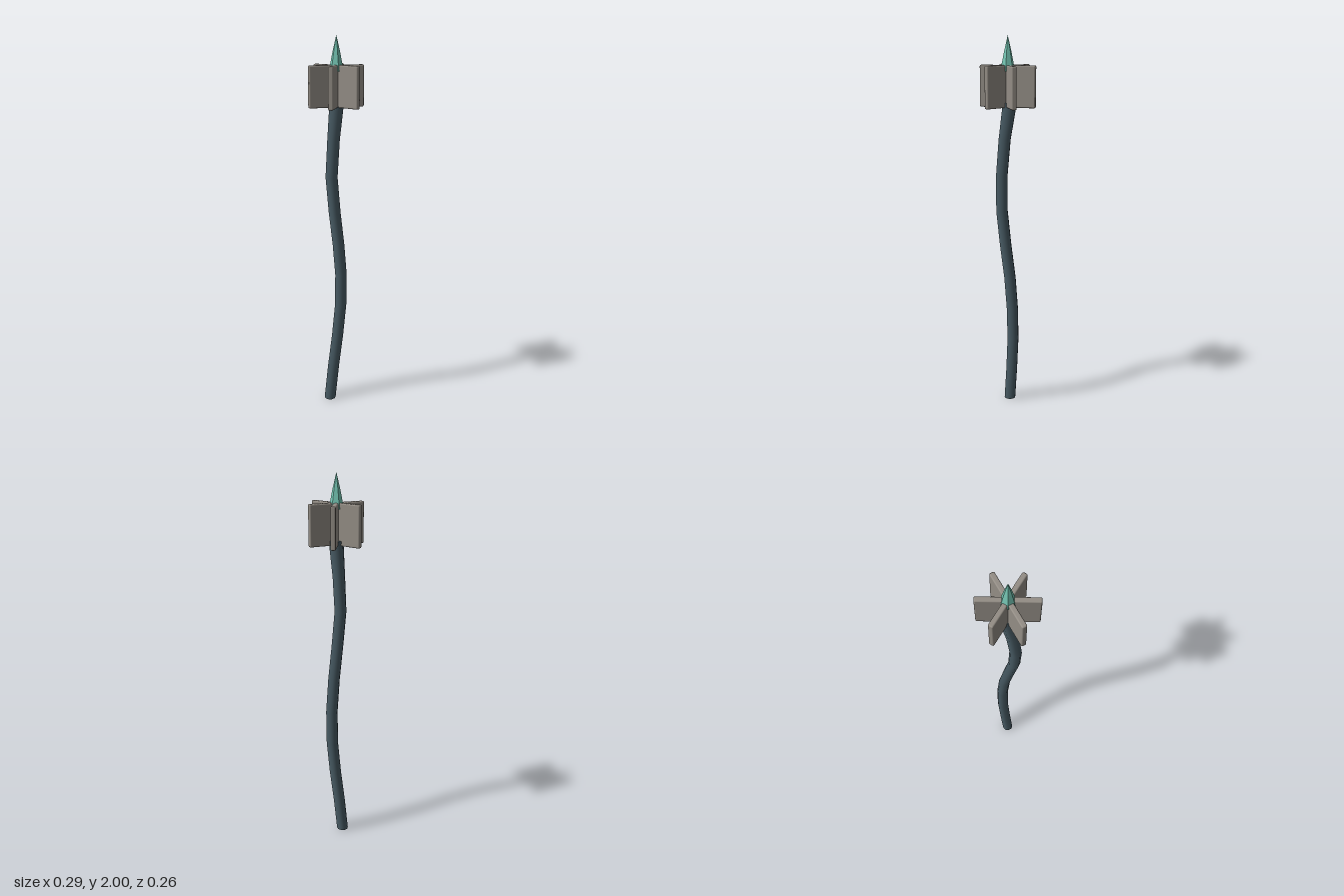
import * as THREE from 'three';
import { RoundedBoxGeometry } from 'three/addons/geometries/RoundedBoxGeometry.js';

const mat = (name, color, extra = {}) => {
  const m = new THREE.MeshStandardMaterial({ color, ...extra });
  m.name = name;
  return m;
};

export function createModel() {
  const wood = mat('dark shaft', 0x485b64);
  const stone = mat('stone', 0x938d85);
  const crystal = mat('teal crystal', 0x74c4b2, { flatShading: true });

  const group = new THREE.Group();
  group.name = 'mace';
  const add = (name, geometry, material) => {
    const mesh = new THREE.Mesh(geometry, material);
    mesh.name = name;
    group.add(mesh);
    return mesh;
  };

  // Crooked shaft: a cylinder whose rings follow a winding centre line [y, x, z, radius]
  const line = [
    [0, -0.03, -0.02, 0.031], [0.19, -0.008, -0.025, 0.031], [0.38, 0.017, -0.026, 0.031],
    [0.56, 0.032, -0.019, 0.031], [0.74, 0.029, -0.006, 0.031], [0.92, 0.008, 0.013, 0.031],
    [1.1, -0.018, 0.027, 0.031], [1.29, -0.034, 0.024, 0.031], [1.48, -0.019, 0.012, 0.032],
    [1.67, 0.006, -0.01, 0.037],
  ];
  const segs = line.length - 1;
  const shaft = new THREE.CylinderGeometry(1, 1, 1, 10, segs);
  const p = shaft.attributes.position;
  for (let i = 0; i < p.count; i++) {
    const [y, x, z, r] = line[Math.round((p.getY(i) + 0.5) * segs)];
    p.setXYZ(i, x + p.getX(i) * r, y, z + p.getZ(i) * r);
  }
  add('shaft', shaft, wood);

  // Three bevelled plates crossing at the centre make the six flanges
  for (let i = 0; i < 3; i++) {
    const plate = add('flangePair', new RoundedBoxGeometry(0.292, 0.21, 0.026, 2, 0.007), stone);
    plate.position.y = 1.75;
    plate.rotation.y = (i * Math.PI) / 3;
  }

  // Six-sided crystal spike
  const spike = [[0, 1.82], [0.036, 1.825], [0.033, 1.85], [0.019, 1.92], [0, 2]];
  add('crystalSpike', new THREE.LatheGeometry(spike.map(([r, y]) => new THREE.Vector2(r, y)), 6), crystal);

  return group;
}
